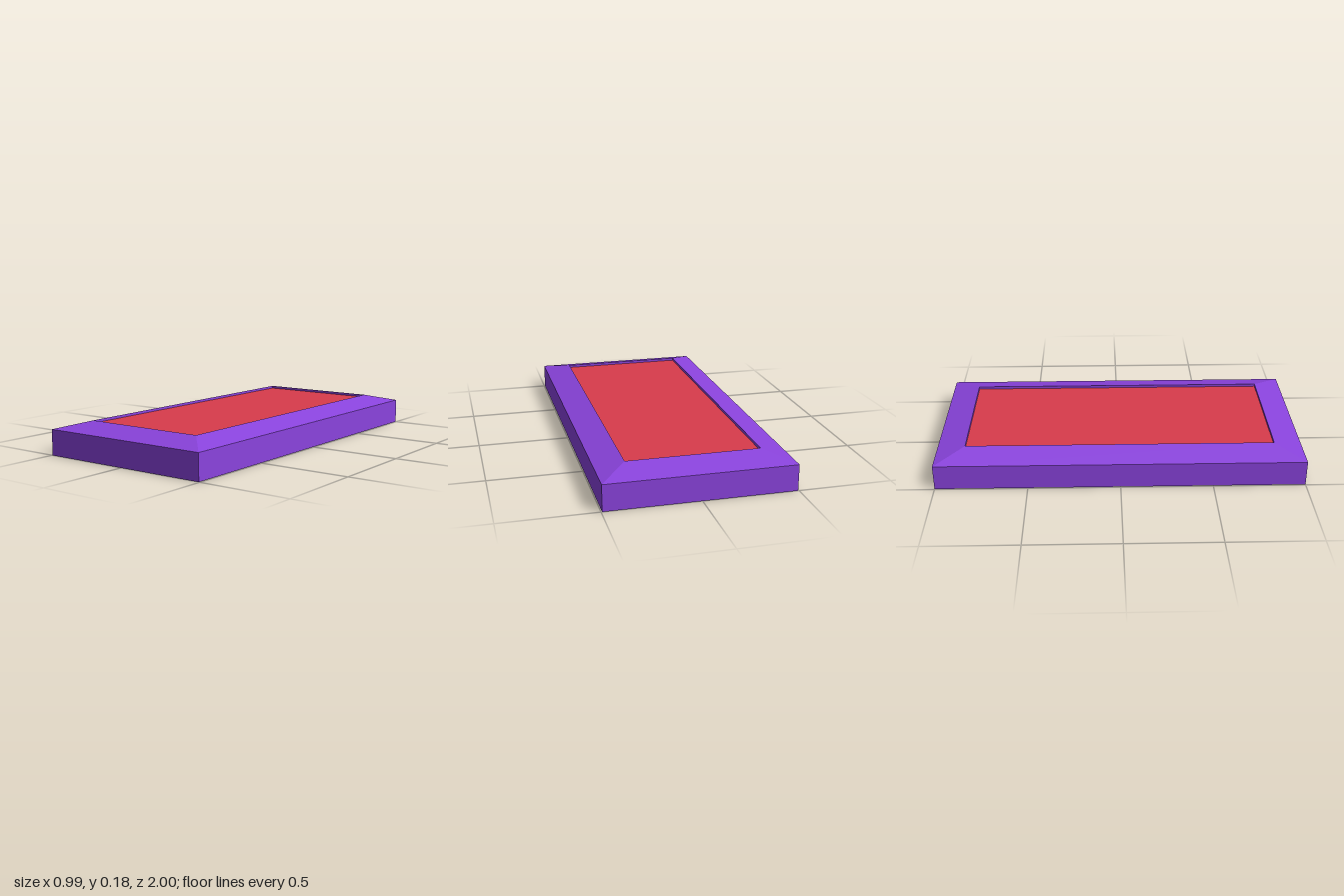
import * as THREE from 'three';

const OPEN_X = 0.35, OPEN_Z = 0.84; // half size of the frame's opening

// Joins rectangular rings [halfX, halfZ, y] into a closed, flat-faced band
function rectLoft(rings) {
  const corners = [[1, 1], [1, -1], [-1, -1], [-1, 1]];
  const point = (r, c) => {
    const [hx, hz, y] = rings[r % rings.length];
    const [sx, sz] = corners[c % 4];
    return [sx * hx, y, sz * hz];
  };
  const pos = [];
  for (let r = 0; r < rings.length; r++) {
    for (let c = 0; c < 4; c++) {
      const a = point(r, c), b = point(r, c + 1), d = point(r + 1, c + 1), e = point(r + 1, c);
      pos.push(...a, ...b, ...d, ...a, ...d, ...e);
    }
  }
  const geo = new THREE.BufferGeometry();
  geo.setAttribute('position', new THREE.Float32BufferAttribute(pos, 3));
  geo.computeVertexNormals();
  return geo;
}

export function createModel() {
  const model = new THREE.Group();
  model.name = 'framedPanel';
  const purple = new THREE.MeshStandardMaterial({ color: 0x8a43dd, flatShading: true });
  const red = new THREE.MeshStandardMaterial({ color: 0xd93c4c, flatShading: true });

  const add = (name, geo, material) => {
    const mesh = new THREE.Mesh(geo, material);
    mesh.name = name;
    model.add(mesh);
    return mesh;
  };

  // Frame: outer wall, sloping rim, inner wall and underside
  add('frame', rectLoft([
    [0.495, 1, 0],
    [0.495, 1, 0.14],
    [OPEN_X, OPEN_Z, 0.18],
    [OPEN_X, OPEN_Z, 0],
  ]), purple);

  // Red surface set just below the rim
  const sheet = () => new THREE.PlaneGeometry(2 * OPEN_X, 2 * OPEN_Z);
  add('panelTop', sheet().rotateX(-Math.PI / 2).translate(0, 0.165, 0), red);

  // Backing recessed into the underside
  add('panelBacking', sheet().rotateX(Math.PI / 2).translate(0, 0.04, 0), purple);

  return model;
}
